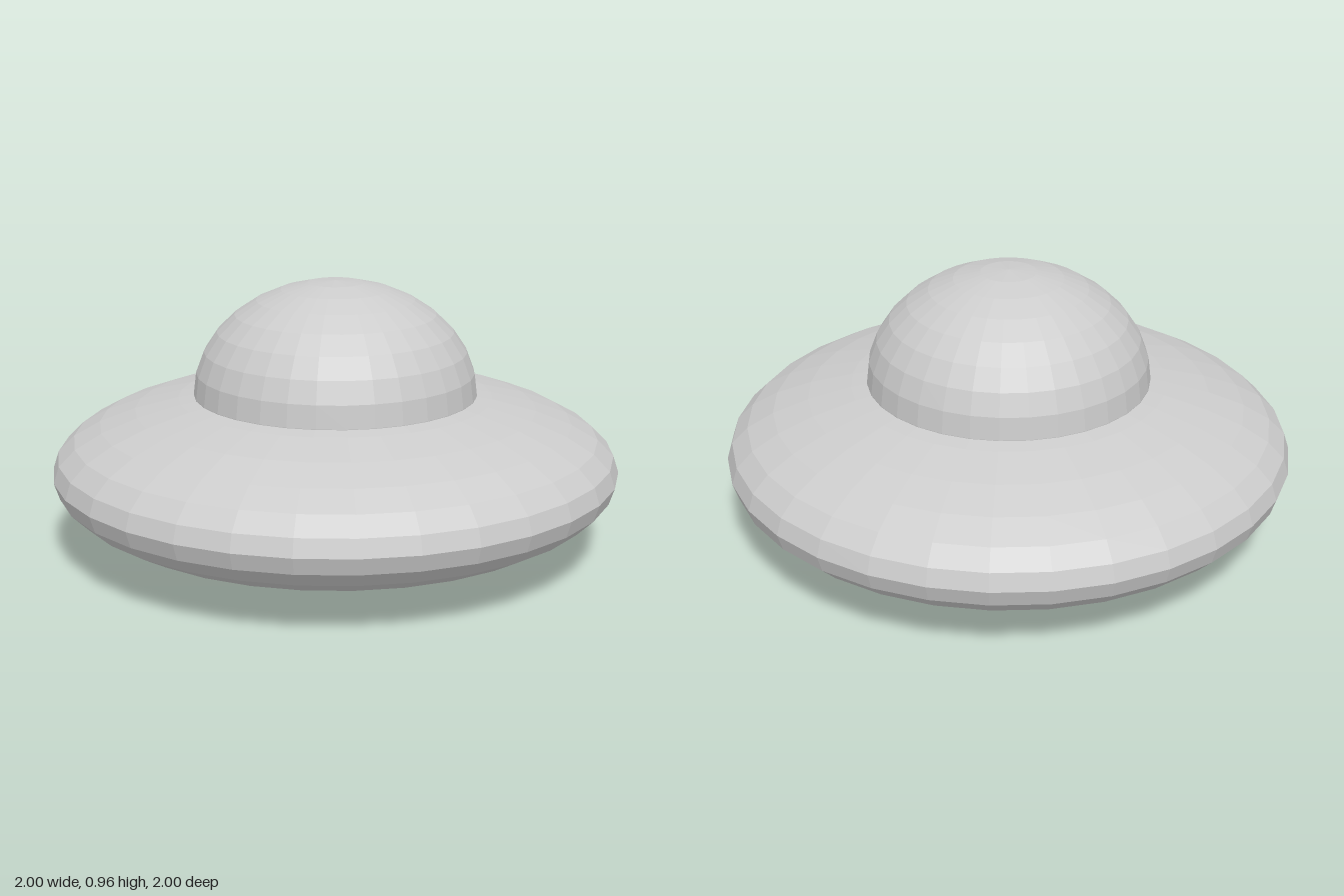
import * as THREE from 'three';

export function createModel() {
  const group = new THREE.Group();
  group.name = 'flyingSaucer';
  const material = new THREE.MeshStandardMaterial({ color: 0xcccccc, flatShading: true });

  // Low-poly ellipsoid, given its radius, half height and centre height
  function addEllipsoid(name, radius, halfHeight, centreY) {
    const geometry = new THREE.SphereGeometry(1, 32, 16);
    geometry.scale(radius, halfHeight, radius);
    const mesh = new THREE.Mesh(geometry, material);
    mesh.name = name;
    mesh.position.y = centreY;
    group.add(mesh);
  }

  // Flattened saucer body
  addEllipsoid('hull', 1, 0.3, 0.3);
  // Cockpit dome, its lower half sunk into the hull
  addEllipsoid('dome', 0.5, 0.4, 0.56);

  return group;
}
